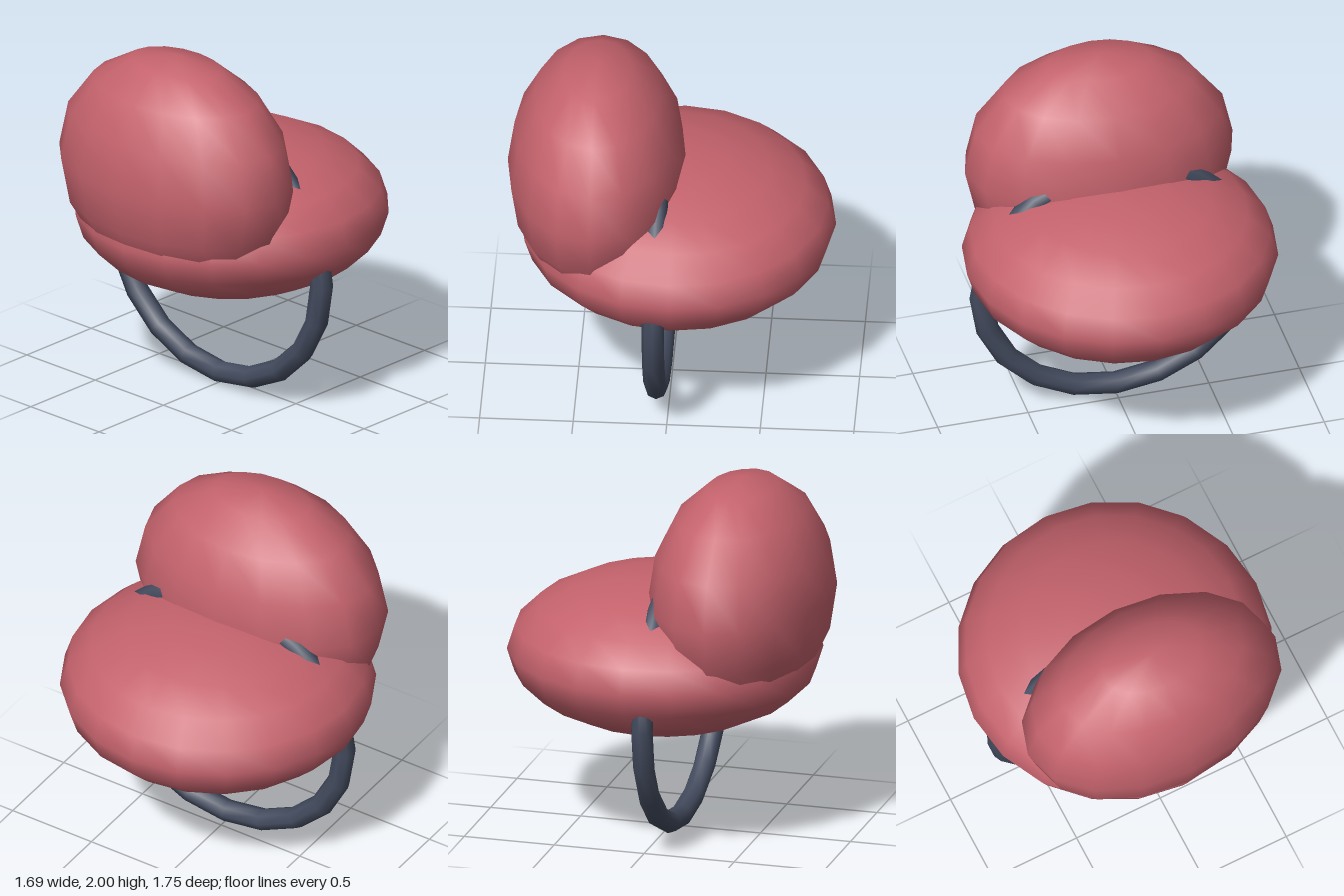
import * as THREE from 'three';

// Low-segment smooth ellipsoid
function ellipsoid(name, segments, radii, position, material) {
  const geometry = new THREE.SphereGeometry(1, segments, segments / 2);
  geometry.scale(...radii);
  const mesh = new THREE.Mesh(geometry, material);
  mesh.name = name;
  mesh.position.set(...position);
  return mesh;
}

export function createModel() {
  const group = new THREE.Group();
  group.name = 'cushionedRing';
  const red = new THREE.MeshStandardMaterial({ color: 0xc4626c });
  const slate = new THREE.MeshStandardMaterial({ color: 0x434b5e });

  // Wide flattened cushion and the upright rounded pad resting in its front half
  group.add(ellipsoid('lowerCushion', 20, [0.845, 0.42, 0.845], [0, 1.0, -0.03], red));
  group.add(ellipsoid('upperCushion', 16, [0.74, 0.65, 0.48], [0, 1.35, 0.4], red));

  // Full hoop passing through both cushions
  const hoopGeometry = new THREE.TorusGeometry(0.745, 0.063, 8, 20);
  hoopGeometry.scale(1, 0.955, 0.95);
  const hoop = new THREE.Mesh(hoopGeometry, slate);
  hoop.name = 'hoop';
  hoop.position.set(0, 0.772, 0.06);
  group.add(hoop);

  return group;
}
